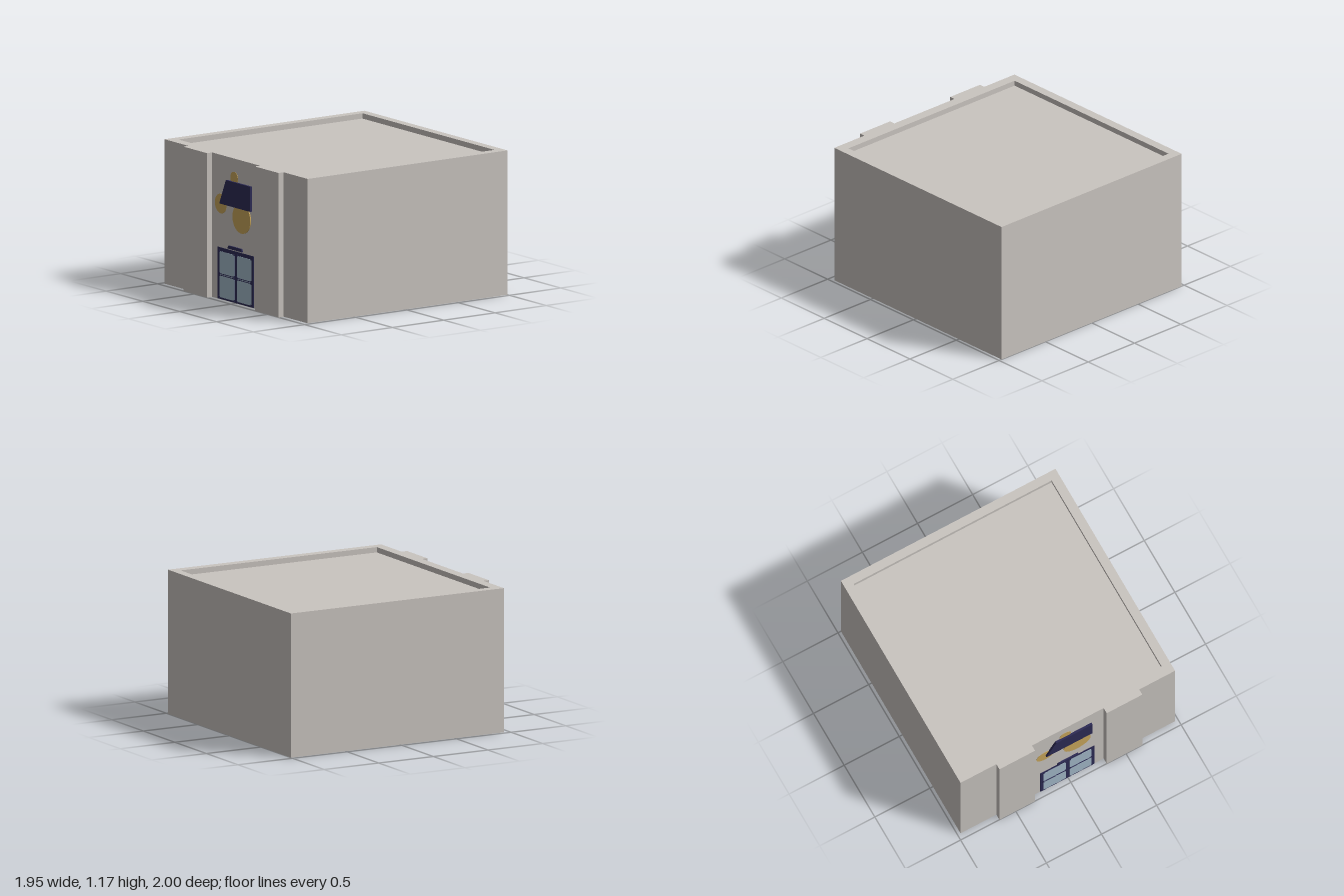
import * as THREE from 'three';

const paint = (name, color) => {
  const m = new THREE.MeshStandardMaterial({ color });
  m.name = name;
  return m;
};

const FACE = 0.95; // z of the front wall between the pilasters

export function createModel() {
  const concrete = paint('warm grey concrete', 0xcac5c0);
  const navy = paint('navy', 0x2d2b55);
  const gold = paint('gold', 0xc9a75c);
  const glass = paint('pale blue glass', 0xa3b9c9);

  const model = new THREE.Group();
  model.name = 'building';

  const add = (parent, name, geometry, material, x = 0, y = 0, z = 0) => {
    const mesh = new THREE.Mesh(geometry, material);
    mesh.name = name;
    mesh.position.set(x, y, z);
    parent.add(mesh);
    return mesh;
  };
  const polygon = (pts) => new THREE.Shape(pts.map(([x, y]) => new THREE.Vector2(x, y)));
  const extrude = (shape, depth) =>
    new THREE.ExtrudeGeometry(shape, { depth, bevelEnabled: false, curveSegments: 24 });
  // Plate standing on the front wall, given by its x and y ranges
  const plate = (parent, name, x0, x1, y0, y1, depth, material) =>
    add(parent, name, new THREE.BoxGeometry(x1 - x0, y1 - y0, depth), material,
      (x0 + x1) / 2, (y0 + y1) / 2, FACE + depth / 2);

  // Building mass: footprint with two front pilasters, drawn as (x, -z)
  const outline = [
    [-0.973, 1], [-0.973, -FACE],
    [-0.648, -FACE], [-0.648, -1], [-0.325, -1], [-0.325, -FACE],
    [0.325, -FACE], [0.325, -1], [0.648, -1], [0.648, -FACE],
    [0.973, -FACE], [0.973, 1],
  ];
  const roofY = 1.125;
  add(model, 'walls', extrude(polygon(outline), roofY).rotateX(-Math.PI / 2), concrete);

  // Parapet around the sunken roof
  const rim = polygon(outline);
  rim.holes.push(polygon([[-0.898, 0.928], [0.898, 0.928], [0.898, -0.867], [-0.898, -0.867]]));
  add(model, 'parapet', extrude(rim, 1.168 - roofY).rotateX(-Math.PI / 2), concrete, 0, roofY);

  // Double door
  const door = new THREE.Group();
  door.name = 'doubleDoor';
  model.add(door);
  plate(door, 'doorFrame', -0.25, 0.242, 0.003, 0.42, 0.003, navy);
  for (const [x0, x1] of [[-0.222, -0.02], [0.016, 0.214]]) {
    plate(door, 'doorPane', x0, x1, 0.017, 0.39, 0.0045, glass);
    for (const y of [0.196, 0.208]) {
      plate(door, 'doorRail', x0, x1, y - 0.003, y + 0.003, 0.006, navy);
    }
    for (const x of [x0, x1]) {
      plate(door, 'railBracket', x - 0.008, x + 0.008, 0.186, 0.218, 0.006, navy);
      // Corner blocks of the pane
      for (const y of [0.017, 0.39]) {
        plate(door, 'paneCorner', x - 0.008, x + 0.008, y - 0.008, y + 0.008, 0.006, navy);
      }
    }
  }

  // Small hood above the door
  add(model, 'doorHood', extrude(polygon([
    [-0.097, 0.43], [0.093, 0.43], [0.093, 0.442], [0.085, 0.455], [-0.087, 0.455], [-0.097, 0.442],
  ]), 0.012), navy, 0, 0, FACE);

  // Wall ornament: three discs and a slanted panel
  for (const [x, y, r, depth] of [
    [0.083, 0.7, 0.121, 0.008], [-0.205, 0.775, 0.079, 0.003], [-0.023, 1.01, 0.051, 0.003],
  ]) {
    add(model, 'ornamentDisc', new THREE.CylinderGeometry(r, r, depth, 48).rotateX(Math.PI / 2),
      gold, x, y, FACE + depth / 2);
  }
  add(model, 'ornamentPanel', extrude(polygon([
    [-0.204, 0.778], [0.215, 0.778], [0.215, 0.981], [-0.114, 0.981],
  ]), 0.018), navy, 0, 0, FACE);

  return model;
}
